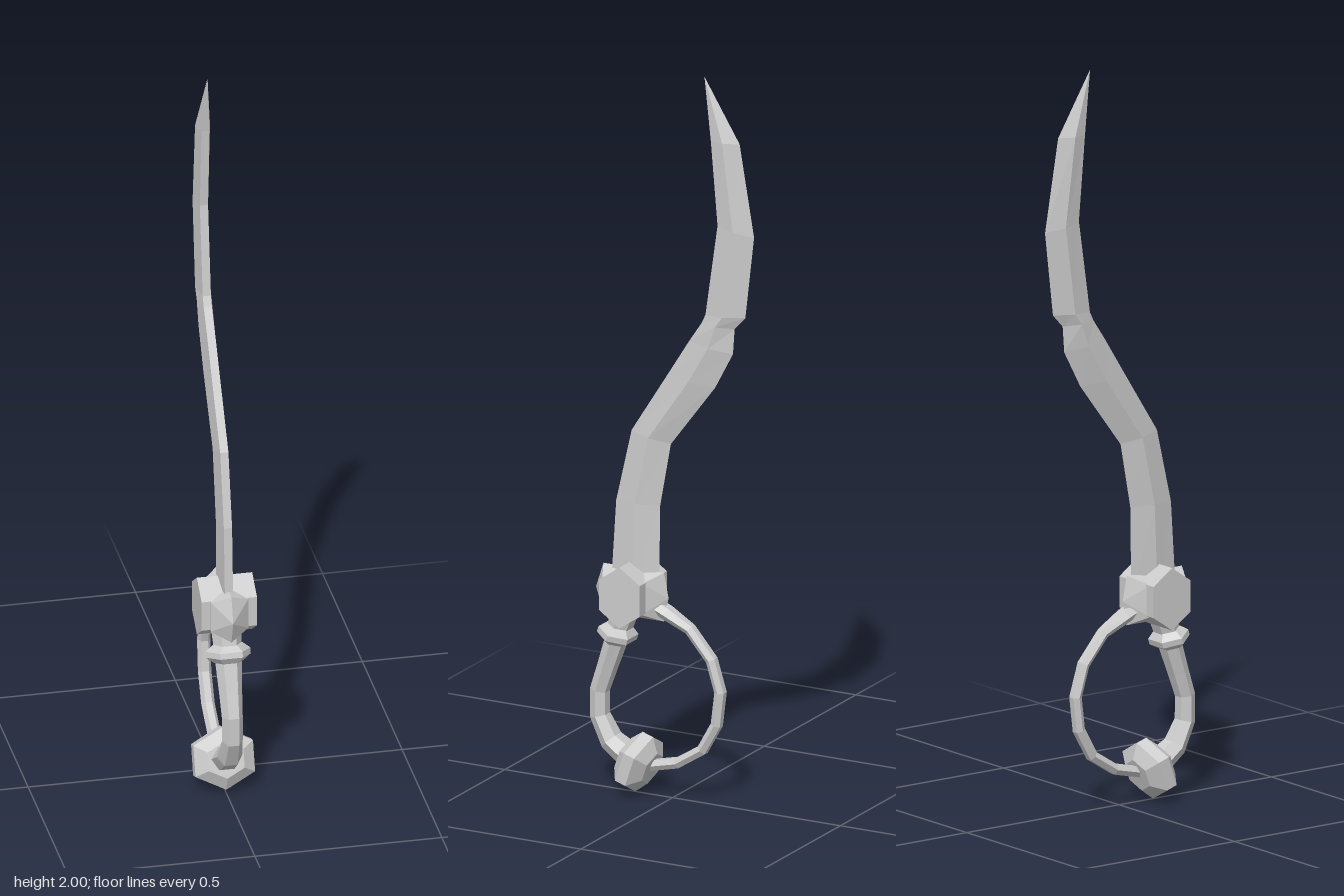
import * as THREE from 'three';

const V = (x, y, z) => new THREE.Vector3(x, y, z);
const material = new THREE.MeshStandardMaterial({ color: 0xcccccc, flatShading: true });

// Skin a list of equal-sized rings (counter-clockwise about the direction of travel).
// The ends close on the ring centre or on a given apex.
function loft(name, rings, startApex, endApex) {
  const n = rings[0].length, pos = [];
  const tri = (...pts) => pts.forEach(p => pos.push(p.x, p.y, p.z));
  const centre = r => r.reduce((s, p) => s.add(p), V(0, 0, 0)).divideScalar(n);
  const first = rings[0], last = rings[rings.length - 1];
  const a = startApex || centre(first), b = endApex || centre(last);
  for (let j = 0; j < n; j++) {
    const k = (j + 1) % n;
    for (let i = 0; i < rings.length - 1; i++) {
      const p = rings[i], q = rings[i + 1];
      tri(p[j], p[k], q[k]);
      tri(p[j], q[k], q[j]);
    }
    tri(a, first[k], first[j]);
    tri(b, last[j], last[k]);
  }
  const geo = new THREE.BufferGeometry();
  geo.setAttribute('position', new THREE.Float32BufferAttribute(pos, 3));
  geo.computeVertexNormals();
  const mesh = new THREE.Mesh(geo, material);
  mesh.name = name;
  return mesh;
}

// Sweep an elliptical polygon along a path in the x = 0 plane.
// Each station is [z, y, half width in x, half depth across the path].
function sweep(name, stations, sides, phase = 0) {
  const rings = stations.map(([z, y, rx, rn], i) => {
    const p = stations[Math.max(i - 1, 0)], q = stations[Math.min(i + 1, stations.length - 1)];
    const t = V(0, q[1] - p[1], q[0] - p[0]).normalize();
    const nrm = t.clone().cross(V(1, 0, 0));
    return Array.from({ length: sides }, (_, k) => {
      const a = phase + (k / sides) * Math.PI * 2;
      return V(rx * Math.cos(a), y, z).addScaledVector(nrm, rn * Math.sin(a));
    });
  });
  return loft(name, rings);
}

export function createModel() {
  const model = new THREE.Group();
  model.name = 'sabre';

  // Blade: flat spine in front, ridge on both sides, sharp back edge.
  // Rows: spine z, y, edge z, y.
  const blade = [
    [0.178, 0.55, 0.04, 0.55],
    [0.162, 0.80, 0.037, 0.80],
    [0.116, 1.00, 0.005, 0.975],
    [0.008, 1.17, -0.127, 1.15],
    [-0.055, 1.27, -0.18, 1.25],
    [-0.092, 1.325, -0.185, 1.32],
    [-0.104, 1.35, -0.217, 1.355],
    [-0.14, 1.60, -0.243, 1.58],
    [-0.12, 1.83, -0.20, 1.83],
  ].map(([fz, fy, bz, by]) => {
    const rz = fz + (bz - fz) * 0.48, ry = (fy + by) / 2;
    return [V(0.011, fy, fz), V(0.02, ry, rz), V(0, by, bz), V(-0.02, ry, rz), V(-0.011, fy, fz)];
  });
  model.add(loft('blade', blade, null, V(0, 2, -0.095)));

  // Guard: hexagonal block lying across the model.
  const hexAt = x => Array.from({ length: 6 }, (_, k) => {
    const a = k * Math.PI / 3;
    return V(x, 0.555 + 0.084 * Math.cos(a), 0.118 + 0.07 * Math.sin(a));
  });
  model.add(loft('guardBlock', [hexAt(-0.074), hexAt(0.074)]));

  // Guard: arm running front to back, pointed at both ends.
  const armAt = (sideZ, midZ) => [
    V(0.05, 0.51, sideZ), V(0.05, 0.595, sideZ), V(0, 0.618, midZ),
    V(-0.05, 0.595, sideZ), V(-0.05, 0.51, sideZ), V(0, 0.484, midZ),
  ];
  model.add(loft('guardArm', [armAt(0.065, 0.025), armAt(0.182, 0.206)],
    V(0, 0.55, 0.012), V(0, 0.55, 0.228)));

  // Neck, collar and curved grip.
  model.add(sweep('neck', [
    [0.135, 0.52, 0.046, 0.045], [0.147, 0.48, 0.04, 0.035], [0.163, 0.43, 0.036, 0.031],
  ], 6));
  model.add(sweep('collar', [
    [0.157, 0.456, 0.04, 0.034], [0.161, 0.44, 0.06, 0.052],
    [0.166, 0.425, 0.06, 0.052], [0.17, 0.41, 0.04, 0.034],
  ], 6));
  model.add(sweep('grip', [
    [0.165, 0.42, 0.036, 0.03], [0.194, 0.335, 0.031, 0.027], [0.216, 0.27, 0.028, 0.026],
    [0.216, 0.20, 0.028, 0.027], [0.182, 0.136, 0.034, 0.031], [0.115, 0.092, 0.042, 0.036],
  ], 6));

  // Pommel: tilted, bevelled hexagonal disc.
  const pommel = [[-0.042, 0.55], [-0.016, 1], [0.016, 1], [0.042, 0.6]].map(([d, s]) =>
    [0.1 + 0.95 * d, 0.088 + 0.32 * d, 0.092 * s, 0.083 * s]);
  model.add(sweep('pommel', pommel, 6, Math.PI / 6));

  // Knuckle bow looping behind the grip.
  const bow = [
    [0.05, 0.525], [0.015, 0.51], [-0.053, 0.475], [-0.117, 0.40], [-0.143, 0.315],
    [-0.132, 0.225], [-0.09, 0.15], [-0.016, 0.103], [0.09, 0.078],
  ].map(([z, y], i) => [z, y, i < 2 ? 0.026 : 0.018, i < 2 ? 0.02 : 0.016]);
  model.add(sweep('knuckleBow', bow, 6));

  return model;
}
